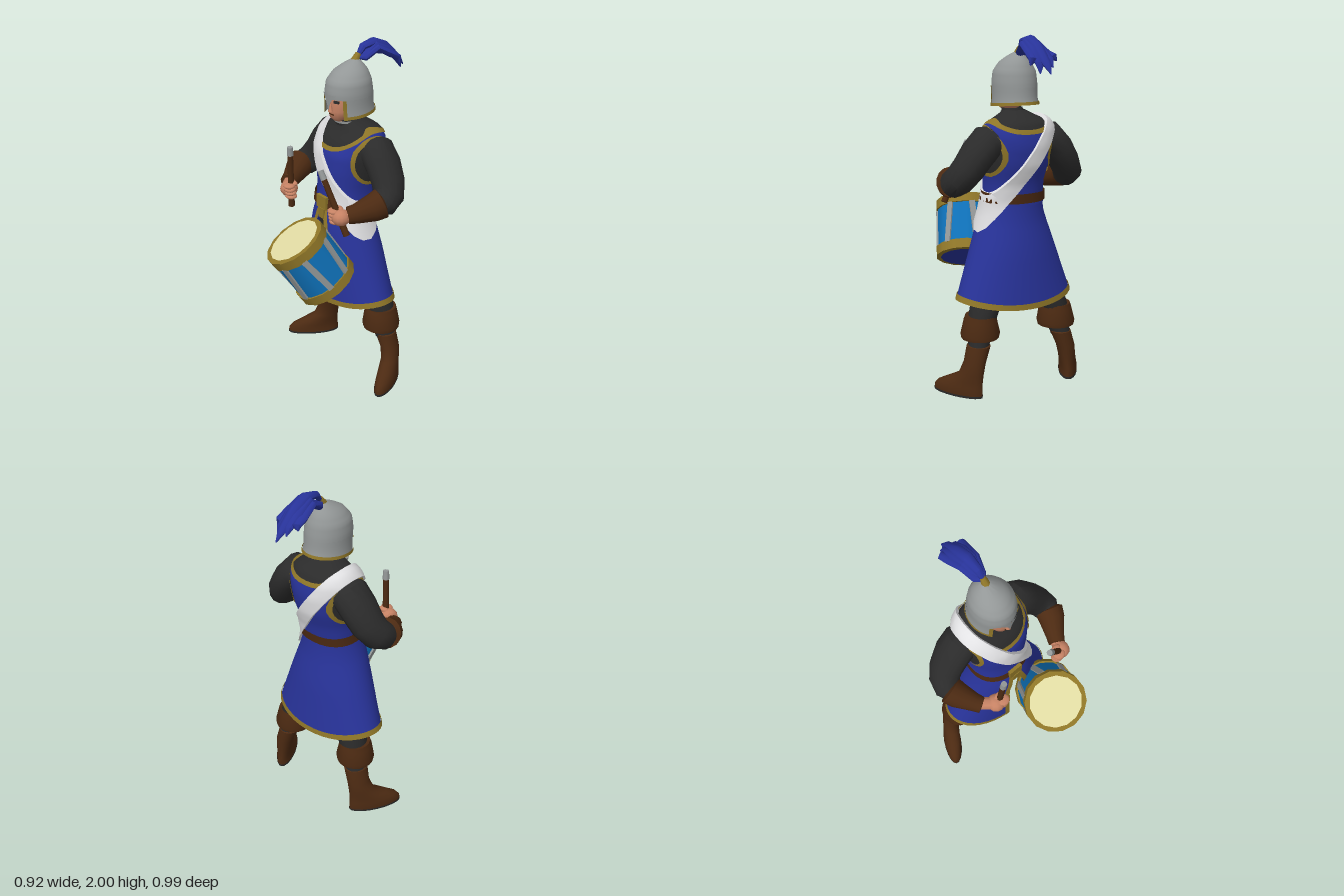
import * as THREE from 'three';
import { toCreasedNormals } from 'three/addons/utils/BufferGeometryUtils.js';

const V = (x, y, z) => new THREE.Vector3(x, y, z);
const TAU = Math.PI * 2;
const mat = (name, color) => {
  const m = new THREE.MeshStandardMaterial({ color, side: THREE.DoubleSide });
  m.name = name;
  return m;
};

// Surface from a rule: fn(u, v) gives a point, u and v run from 0 to 1
function grid(nu, nv, fn) {
  const pos = [], idx = [];
  for (let j = 0; j <= nv; j++) for (let i = 0; i <= nu; i++) pos.push(...fn(i / nu, j / nv));
  for (let j = 0; j < nv; j++) for (let i = 0; i < nu; i++) {
    const a = j * (nu + 1) + i, d = a + nu + 1;
    idx.push(a, a + 1, d, a + 1, d + 1, d);
  }
  const g = new THREE.BufferGeometry();
  g.setAttribute('position', new THREE.Float32BufferAttribute(pos, 3));
  g.setIndex(idx);
  return toCreasedNormals(g, 0.85);
}

// Horizontal rings, rows of [y, cx, cz, rx, rz], turned by yaw
function stack(rows, yaw = 0, seg = 20) {
  const c = Math.cos(yaw), s = Math.sin(yaw);
  return grid(seg, rows.length - 1, (u, v) => {
    const [y, cx, cz, rx, rz] = rows[Math.round(v * (rows.length - 1))];
    const x = rx * Math.sin(u * TAU), z = rz * Math.cos(u * TAU);
    return [cx + x * c + z * s, y, cz - x * s + z * c];
  });
}

// Rings across a path, rows of [x, y, z, radius along ref, other radius]
function limb(rows, ref, seg = 14) {
  const n = rows.length - 1, P = rows.map(r => V(r[0], r[1], r[2]));
  const frames = P.map((p, i) => {
    const T = P[Math.min(n, i + 1)].clone().sub(P[Math.max(0, i - 1)]).normalize();
    const A = ref.clone().addScaledVector(T, -ref.dot(T)).normalize();
    return [A, T.clone().cross(A)];
  });
  return grid(seg, n, (u, v) => {
    const i = Math.round(v * n), [A, B] = frames[i];
    return P[i].clone().addScaledVector(A, rows[i][3] * Math.cos(u * TAU))
      .addScaledVector(B, rows[i][4] * Math.sin(u * TAU)).toArray();
  });
}

// Profiles of [y, rx, rz, cz]
const BODY = [[.9, .225, .175, -.085], [1, .192, .167, -.076], [1.1, .168, .15, -.088], [1.2, .168, .155, -.1],
  [1.3, .185, .175, -.115], [1.4, .2, .178, -.125], [1.48, .203, .155, -.14], [1.53, .175, .12, -.15],
  [1.565, .1, .085, -.13], [1.59, .055, .055, -.11]];
const SKIRT = [[.5, .365, .2, -.11], [.8, .262, .187, -.092], [1, .192, .167, -.076], [1.13, .165, .148, -.09]];
const HELM = [[1.59, .128, .148, -.125], [1.66, .12, .14, -.115], [1.74, .122, .14, -.11], [1.8, .115, .13, -.11],
  [1.85, .086, .1, -.12], [1.89, .042, .05, -.14], [1.915, .003, .003, -.16]];
function at(profile, y) {
  let i = 0;
  while (i < profile.length - 2 && profile[i + 1][0] < y) i++;
  const a = profile[i], b = profile[i + 1], t = THREE.MathUtils.clamp((y - a[0]) / (b[0] - a[0]), 0, 1);
  return [1, 2, 3].map(k => a[k] + (b[k] - a[k]) * t);
}
const sp = (v, e) => Math.sign(v) * Math.abs(v) ** e;
function on(profile, th, y, off = 0, e = 1) {
  const [rx, rz, cz] = at(profile, y);
  return [(rx + off) * sp(Math.sin(th), e), y, cz + (rz + off) * sp(Math.cos(th), e)];
}
const BE = 2 / 2.3;
// Walk from inside the torso until its surface is met
function exitBody(o, d, off) {
  for (let t = 0; t < .5; t += .001) {
    const p = o.clone().addScaledVector(d, t), [rx, rz, cz] = at(BODY, p.y);
    if (p.y > 1.58 || Math.abs(p.x / rx) ** 2.3 + Math.abs((p.z - cz) / rz) ** 2.3 > 1)
      return p.addScaledVector(d, off).toArray();
  }
  return o.toArray();
}

export function createModel() {
  const root = new THREE.Group();
  root.name = 'drummer';
  const blue = mat('tunic blue', 0x28339a), dark = mat('charcoal cloth', 0x2b2b2b), brown = mat('brown leather', 0x4c2a12),
    gold = mat('gold trim', 0x8f7628), steel = mat('steel', 0x939797), white = mat('white strap', 0xe2e2e4),
    skin = mat('skin', 0xc68264), azure = mat('drum blue', 0x0f72ba), cream = mat('drum skin', 0xe2dca4);
  const add = (name, geo, m, parent = root) => {
    const mesh = new THREE.Mesh(geo, m);
    mesh.name = name;
    parent.add(mesh);
    return mesh;
  };
  const rod = (name, a, b, ra, rb, m, seg = 8) => {
    const d = b.clone().sub(a), mesh = add(name, new THREE.CylinderGeometry(rb, ra, d.length(), seg), m);
    mesh.position.copy(a).addScaledVector(d, .5);
    mesh.quaternion.setFromUnitVectors(V(0, 1, 0), d.normalize());
    return mesh;
  };
  const ball = (name, p, s, m) => {
    const mesh = add(name, new THREE.SphereGeometry(1, 12, 8), m);
    mesh.position.set(...p);
    mesh.scale.set(...s);
  };

  // Vest, dark yoke and neckline trim
  const neck = th => { const c = Math.cos(th); return 1.54 - (c > 0 ? .105 : .055) * c * c; };
  add('vest', grid(36, 14, (u, v) => on(BODY, u * TAU, 1.07 + (neck(u * TAU) - 1.07) * v, 0, BE)), blue);
  add('yoke', grid(36, 8, (u, v) => on(BODY, u * TAU, neck(u * TAU) + (1.59 - neck(u * TAU)) * v, 0, BE)), dark);
  add('necklineTrim', grid(36, 2, (u, v) => on(BODY, u * TAU, neck(u * TAU) - .012 + .024 * v, .006, BE)), gold);
  add('collar', stack([[1.55, 0, -.1, .066, .066], [1.6, 0, -.085, .058, .06]]), dark);
  add('collarRing', stack([[1.566, 0, -.094, .068, .068], [1.58, 0, -.09, .066, .066]]), steel);

  // Armholes laid on the sides of the torso
  for (const s of [1, -1]) {
    const hole = (r0, r1, off) => grid(24, 3, (u, v) => {
      const r = r0 + (r1 - r0) * v, a = u * TAU;
      return exitBody(V(0, 1.375 + .125 * r * Math.cos(a), -.135 + .122 * r * Math.sin(a)), V(s, 0, 0), off);
    });
    add('armhole', hole(0, 1, .004), dark);
    add('armholeTrim', hole(.98, 1.14, .008), gold);
  }

  // Skirt open at the front, with hem and slit trim
  const gap = y => .004 + .05 * THREE.MathUtils.clamp((1.1 - y) / .2, 0, 1);
  const hem = th => .495 + .045 * Math.sin(th) ** 2;
  const ang = (y, x) => Math.asin(x / at(SKIRT, y)[0]);
  const skirtPart = (y1, off) => (u, v) => {
    const a0 = ang(.5, gap(.5)), h = hem(a0 + (TAU - 2 * a0) * u);
    const y = h + ((y1 || h + .032) - h) * v, t0 = ang(y, gap(y));
    return on(SKIRT, t0 + (TAU - 2 * t0) * u, y, off);
  };
  add('skirt', grid(40, 10, skirtPart(1.13, 0)), blue);
  add('hemTrim', grid(40, 1, skirtPart(0, .006)), gold);
  for (const s of [1, -1]) add('slitTrim', grid(2, 10, (u, v) => {
    const y = .495 + .6 * v;
    return on(SKIRT, s * ang(y, gap(y) + .028 * u), y, .006);
  }), gold);

  // Belt and buckle
  add('belt', grid(32, 1, (u, v) => on(BODY, u * TAU, 1.085 + .055 * v, .01, BE)), brown);
  add('buckle', new THREE.BoxGeometry(.085, .075, .02), gold).position.set(0, 1.115, .075);
  add('buckleTail', new THREE.BoxGeometry(.05, .06, .014), gold).position.set(.004, 1.05, .082);

  // Strap over the right shoulder and round the left hip
  const side = V(.81, .585, 0), up = V(-.585, .81, 0);
  add('shoulderStrap', grid(48, 5, (u, v) => {
    const a = u * TAU, d = up.clone().multiplyScalar(Math.cos(a)).add(V(0, 0, Math.sin(a)));
    const w = [-.042, -.042, -.015, .015, .042, .042][Math.round(v * 5)];
    const off = v === 0 || v === 1 ? 0 : .02;
    return exitBody(V(0, 1.3, -.1).addScaledVector(side, w), d, off);
  }), white);

  // Head
  add('head', stack([[1.57, 0, -.09, .05, .05], [1.582, 0, -.045, .03, .035], [1.6, 0, -.05, .055, .058], [1.64, 0, -.065, .074, .078],
    [1.68, 0, -.075, .082, .086], [1.73, 0, -.085, .086, .094], [1.78, 0, -.09, .08, .085]]), skin);
  const nose = add('nose', new THREE.ConeGeometry(.017, .05, 6), skin);
  nose.position.set(0, 1.665, .015);
  add('mouth', new THREE.BoxGeometry(.036, .006, .008), brown).position.set(0, 1.622, .008);
  for (const s of [1, -1]) {
    const eye = add('eye', new THREE.BoxGeometry(.032, .014, .008), dark);
    eye.position.set(.036 * s, 1.698, .005);
    eye.rotation.y = .45 * s;
  }

  // Helmet: dome, cheek and neck guard, nose guard, gold edges
  add('helmetDome', grid(28, 12, (u, v) => on(HELM, u * TAU, 1.715 + .2 * v)), steel);
  const O = .74, rim = th => 1.615 - .012 * Math.cos(th);
  const around = u => O + (TAU - 2 * O) * u;
  add('helmetGuard', grid(28, 4, (u, v) => { const t = around(u), b = rim(t); return on(HELM, t, b + (1.72 - b) * v); }), steel);
  add('helmetRim', grid(28, 1, (u, v) => { const t = around(u); return on(HELM, t, rim(t) + .017 * v, .005); }), gold);
  for (const s of [1, -1]) add('cheekTrim', grid(2, 5, (u, v) =>
    on(HELM, s * (O - .02 + .15 * u), 1.605 + .11 * v, .005)), gold);
  add('noseGuard', grid(4, 4, (u, v) => on(HELM, (u - .5) * (.08 + .8 * v * v), 1.655 + .085 * v, .006)), steel);

  // Plume
  rod('plumeHolder', V(0, 1.885, -.145), V(0, 1.93, -.175), .026, .016, gold);
  for (const [x, y, z] of [[0, 1.81, -.498], [.072, 1.85, -.41], [-.08, 1.87, -.42], [.035, 1.81, -.45], [-.035, 1.84, -.46]]) {
    const k = x ? .97 : 1;
    add('plumeStrand', limb([[0, 1.91, -.165, .01, .01], [x * .25, 1.963 * k + .04 * (1 - k), -.205, .024, .02],
      [x * .45, 1.978 - Math.abs(x) * .35, -.28, .032, .022], [x * .6, 1.945 - Math.abs(x) * .5, -.36, .032, .022],
      [x * .8, (1.91 + y) / 2, (-.41 + z) / 2, .026, .018], [x, y, z, .003, .003]], V(1, 0, 0), 8), blue);
  }

  for (const s of [1, -1]) {
    // Arms
    add('sleeve', limb([[.13 * s, 1.43, -.15, .1, .08], [.19 * s, 1.425, -.155, .108, .098], [.25 * s, 1.365, -.155, .108, .09],
      [.305 * s, 1.285, -.145, .1, .085], [.345 * s, 1.225, -.115, .09, .082], [.358 * s, 1.2, -.07, .08, .078],
      [.35 * s, 1.19, -.03, .06, .06]], V(0, .3, 1)), dark);
    add('forearmCuff', limb([[.362 * s, 1.205, -.055, .04, .04], [.362 * s, 1.205, -.05, .086, .08], [.345 * s, 1.185, -.005, .078, .073],
      [.3 * s, 1.155, .075, .055, .052], [.278 * s, 1.148, .115, .048, .046], [.275 * s, 1.147, .118, .01, .01]], V(0, 1, 0)), brown);
    // Fists
    const hx = s > 0 ? .26 : -.2;
    rod('wrist', V(.282 * s, 1.15, .1), V(hx + .02 * s, 1.145, .15), .036, .038, skin);
    ball('palm', [hx + .01 * s, 1.145, .155], [.05, .047, .052], skin);
    for (let i = 0; i < 4; i++) ball('finger', [hx - .025 * s, 1.178 - i * .022, .178 - i * .004], [.036, .015, .034], skin);
    ball('thumb', [hx - .02 * s, 1.185, .145], [.032, .015, .02], skin);

    // Legs
    add('trouserLeg', stack([[.27, .27 * s, -.187, .056, .064], [.36, .25 * s, -.175, .065, .07], [.45, .232 * s, -.17, .08, .085],
      [.6, .175 * s, -.15, .094, .1], [.85, .095 * s, -.1, .09, .11], [1.05, .06 * s, -.085, .08, .11]]), dark);
    add('bootCuff', stack([[.345, .25 * s, -.17, .06, .065], [.33, .248 * s, -.168, .106, .106], [.355, .247 * s, -.168, .112, .109],
      [.43, .245 * s, -.166, .093, .1], [.46, .243 * s, -.168, .086, .092], [.452, .24 * s, -.168, .05, .06]]), brown);
    const yaw = .53 * s;
    add('boot', stack([[.012, .365 * s, -.122, .054, .16], [.035, .365 * s, -.124, .054, .158], [.06, .358 * s, -.132, .052, .146],
      [.09, .34 * s, -.155, .051, .116], [.13, .316 * s, -.188, .05, .077], [.2, .298 * s, -.198, .054, .066],
      [.29, .268 * s, -.188, .061, .07], [.295, .266 * s, -.187, .05, .06]], yaw), brown);
    add('sole', stack([[0, .365 * s, -.122, 0, 0], [0, .365 * s, -.122, .054, .16], [.013, .365 * s, -.122, .056, .162]], yaw), dark);
  }
  add('hips', stack([[.72, 0, -.1, .001, .001], [.75, 0, -.1, .14, .1], [.95, 0, -.085, .15, .12], [1.1, 0, -.085, .14, .12]]), dark);

  // Drumsticks with pale tips
  for (const [a, b] of [[V(-.195, 1.04, .15), V(-.168, 1.395, .172)], [V(.312, 1.05, .148), V(.15, 1.365, .19)]]) {
    rod('drumstick', a, b, .019, .016, brown);
    const d = b.clone().sub(a).normalize();
    rod('stickTip', b.clone().addScaledVector(d, -.03), b.clone().addScaledVector(d, .022), .019, .017, steel);
  }

  // Drum, tilted forward
  const drum = new THREE.Group();
  drum.name = 'drum';
  drum.position.set(.122, .845, .25);
  drum.quaternion.setFromUnitVectors(V(0, 1, 0), V(-.08, .285, .17).normalize());
  root.add(drum);
  add('drumShell', new THREE.CylinderGeometry(.17, .17, .3, 14, 1, true), azure, drum);
  for (const s of [1, -1]) {
    add('drumHoop', new THREE.CylinderGeometry(.18, .18, .055, 14), gold, drum).position.y = .142 * s;
    const face = add(s > 0 ? 'drumHead' : 'drumBase', new THREE.CircleGeometry(.153, 14), s > 0 ? cream : blue, drum);
    face.position.y = .172 * s;
    face.rotation.x = -s * Math.PI / 2;
  }
  for (let i = 0; i < 7; i++) {
    const arm = new THREE.Group();
    arm.name = 'drumBar';
    arm.rotation.y = (i + .3) / 7 * TAU;
    const bar = add('bar', new THREE.BoxGeometry(.034, .24, .014), steel, arm);
    bar.position.z = .17;
    bar.rotation.z = i % 2 ? .1 : -.1;
    drum.add(arm);
  }
  return root;
}
